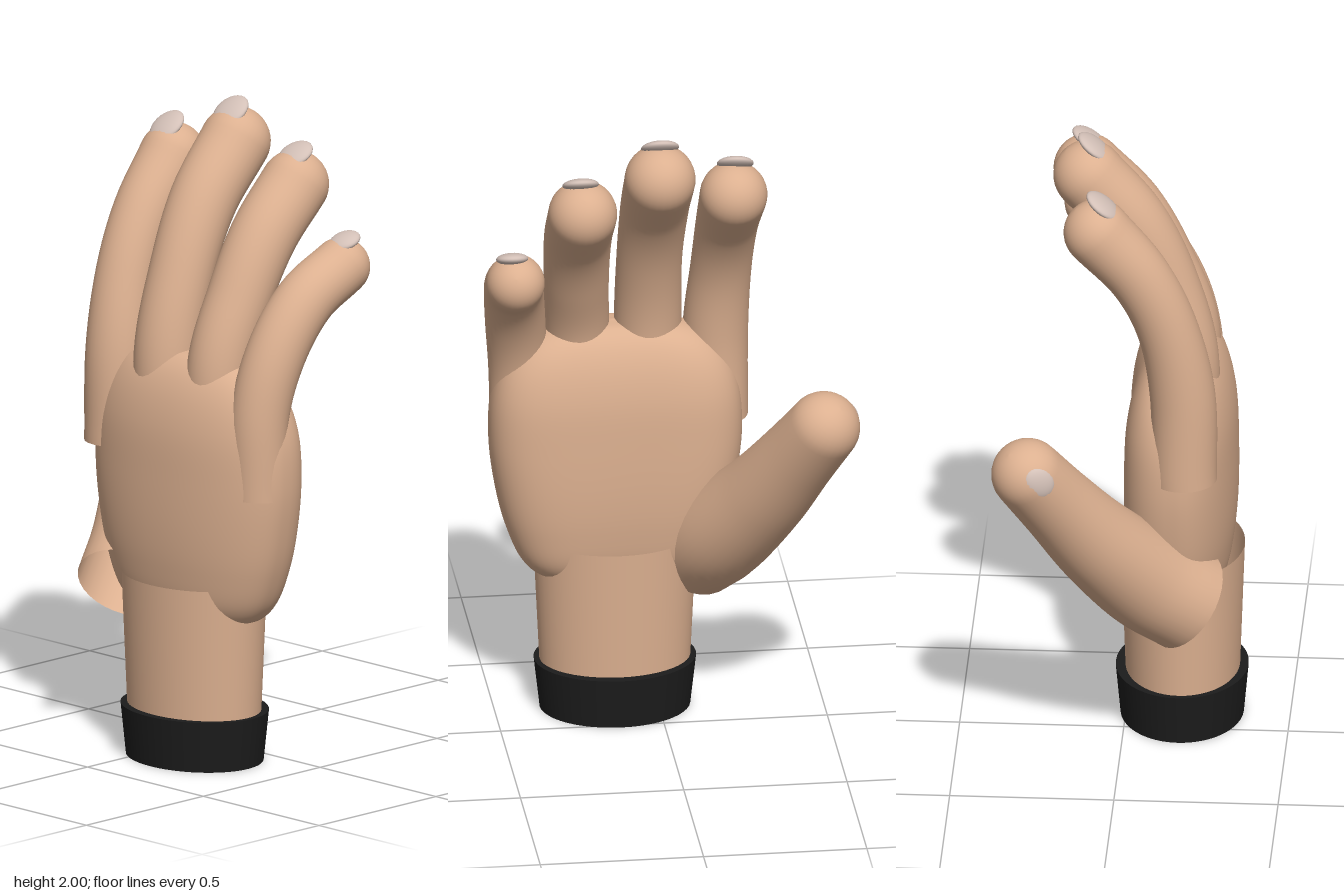
import * as THREE from 'three';

const skin = new THREE.MeshStandardMaterial({ color: 0xdcb090, side: THREE.DoubleSide });
skin.name = 'skin';
const nailColour = new THREE.MeshStandardMaterial({ color: 0xd3c0b7 });
nailColour.name = 'nail';
const cuffBlack = new THREE.MeshStandardMaterial({ color: 0x1c1c1c });
cuffBlack.name = 'cuff black';

// Skin a list of rings, each point given by at(ring, angle)
function loft(rings, sides, at) {
  const pos = [], index = [];
  for (let i = 0; i < rings; i++) {
    for (let j = 0; j < sides; j++) pos.push(...at(i, (j / sides) * Math.PI * 2).toArray());
  }
  for (let i = 0; i < rings - 1; i++) {
    for (let j = 0; j < sides; j++) {
      const k = (j + 1) % sides;
      const a = i * sides + j, b = i * sides + k, c = a + sides, d = b + sides;
      index.push(a, c, b, b, c, d);
    }
  }
  const g = new THREE.BufferGeometry();
  g.setAttribute('position', new THREE.Float32BufferAttribute(pos, 3));
  g.setIndex(index);
  g.computeVertexNormals();
  return g;
}

// Tapered tube along [x, y, z, radius] points: open base, round tip
function digit(points) {
  const smooth = list => new THREE.CatmullRomCurve3(list, false, 'catmullrom', 0.5);
  const path = smooth(points.map(p => new THREE.Vector3(p[0], p[1], p[2])));
  const radii = smooth(points.map(p => new THREE.Vector3(p[3], 0, 0)));
  const body = 32, cap = 10, rings = [];
  for (let i = 0; i <= body + cap; i++) {
    const t = Math.min(i / body, 1);
    const bend = Math.max(0, (i - body) / cap) * Math.PI / 2;
    const dir = path.getTangent(t), r = radii.getPoint(t).x;
    const side = new THREE.Vector3(1, 0, 0).addScaledVector(dir, -dir.x).normalize();
    rings.push({
      centre: path.getPoint(t).addScaledVector(dir, r * Math.sin(bend)),
      r: Math.max(r * Math.cos(bend), 1e-4),
      side, up: new THREE.Vector3().crossVectors(side, dir),
    });
  }
  return loft(rings.length, 32, (i, a) => {
    const q = rings[i];
    return q.centre.clone().addScaledVector(q.side, q.r * Math.cos(a)).addScaledVector(q.up, -q.r * Math.sin(a));
  });
}

// Palm: sections [y, half width, half depth], arched back and flatter, hollowed inner side
function palmGeometry() {
  const rows = [[0.442, 0.001, 0.001], [0.447, 0.19, 0.075], [0.465, 0.25, 0.11], [0.515, 0.295, 0.14],
    [0.62, 0.338, 0.16], [0.74, 0.367, 0.17], [0.9, 0.387, 0.171], [1.05, 0.38, 0.164],
    [1.15, 0.347, 0.143], [1.22, 0.29, 0.112], [1.265, 0.2, 0.07], [1.28, 0.001, 0.001]];
  const curve = new THREE.CatmullRomCurve3(rows.map(r => new THREE.Vector3(...r)), false, 'centripetal');
  const pw = (v, e) => Math.sign(v) * Math.abs(v) ** e;
  return loft(81, 64, (i, a) => {
    const s = curve.getPoint(i / 80);
    const inner = Math.sin(a) < 0;
    const u = pw(Math.cos(a), inner ? 0.8 : 0.95), v = pw(Math.sin(a), inner ? 0.8 : 0.95);
    const depth = inner ? 1.18 * (1 - 0.2 * (1 - u * u) ** 2) : 1;
    return new THREE.Vector3(0.13 + Math.max(s.y, 0.001) * u, s.x, 0.17 + Math.max(s.z, 0.001) * v * depth);
  });
}

export function createModel() {
  const hand = new THREE.Group();
  hand.name = 'hand';
  const add = (name, geometry, material) => {
    const m = new THREE.Mesh(geometry, material);
    m.name = name;
    hand.add(m);
    return m;
  };

  // Palm, wrist sleeve and cuff
  add('palm', palmGeometry(), skin);
  const wrist = add('wrist', new THREE.CylinderGeometry(0.25, 0.228, 0.47, 48, 1, true), skin);
  wrist.scale.z = 0.755;
  wrist.position.set(0.13, 0.335, 0.172);
  const cuff = add('cuff', new THREE.CylinderGeometry(0.248, 0.23, 0.16, 48), cuffBlack);
  cuff.scale.z = 0.815;
  cuff.position.set(0.13, 0.08, 0.17);

  // Digits, each with its nail: centre, outward normal, half width and length
  const digits = [
    { name: 'indexFinger',
      path: [[-0.18, 0.94, 0.195, 0.1], [-0.18, 1.22, 0.19, 0.1], [-0.192, 1.45, 0.145, 0.093],
        [-0.2, 1.63, 0.06, 0.095], [-0.205, 1.78, -0.068, 0.103]],
      nail: [-0.212, 1.875, -0.05], normal: [-0.05, 0.8, 0.6], size: [0.056, 0.062] },
    { name: 'middleFinger',
      path: [[0.03, 0.95, 0.18, 0.1], [0.028, 1.25, 0.185, 0.103], [0.03, 1.5, 0.125, 0.1],
        [0.026, 1.7, 0.03, 0.104], [0.025, 1.86, -0.108, 0.108]],
      nail: [0.023, 1.957, -0.09], normal: [0, 0.8, 0.6], size: [0.058, 0.062] },
    { name: 'ringFinger',
      path: [[0.24, 0.95, 0.18, 0.092], [0.245, 1.24, 0.18, 0.098], [0.257, 1.46, 0.1, 0.1],
        [0.263, 1.63, 0.005, 0.103], [0.264, 1.765, -0.125, 0.105]],
      nail: [0.27, 1.861, -0.122], normal: [0, 0.86, 0.5], size: [0.056, 0.058] },
    { name: 'littleFinger',
      path: [[0.422, 0.87, 0.19, 0.087], [0.425, 1.12, 0.185, 0.09], [0.44, 1.31, 0.13, 0.092],
        [0.457, 1.46, 0.025, 0.091], [0.469, 1.545, -0.12, 0.089]],
      nail: [0.48, 1.627, -0.125], normal: [0, 0.92, 0.38], size: [0.049, 0.05] },
    { name: 'thumb',
      path: [[-0.125, 0.5, 0.2, 0.16], [-0.19, 0.605, 0.075, 0.157], [-0.295, 0.77, -0.06, 0.138],
        [-0.385, 0.94, -0.175, 0.12], [-0.457, 1.078, -0.265, 0.111]],
      nail: [-0.54, 1.09, -0.225], normal: [-0.9, 0.1, 0.4], size: [0.046, 0.055] },
  ];
  for (const d of digits) {
    add(d.name, digit(d.path), skin);
    const nail = add(d.name + 'Nail', new THREE.SphereGeometry(1, 24, 16), nailColour);
    const up = new THREE.Vector3(...d.normal).normalize();
    const [a, b] = d.path.slice(-2).map(p => new THREE.Vector3(p[0], p[1], p[2]));
    const along = b.sub(a).addScaledVector(up, -b.dot(up)).normalize();
    const across = new THREE.Vector3().crossVectors(up, along).normalize();
    nail.quaternion.setFromRotationMatrix(new THREE.Matrix4().makeBasis(across, up, along));
    nail.scale.set(d.size[0], 0.019, d.size[1]);
    nail.position.set(...d.nail);
  }
  return hand;
}
